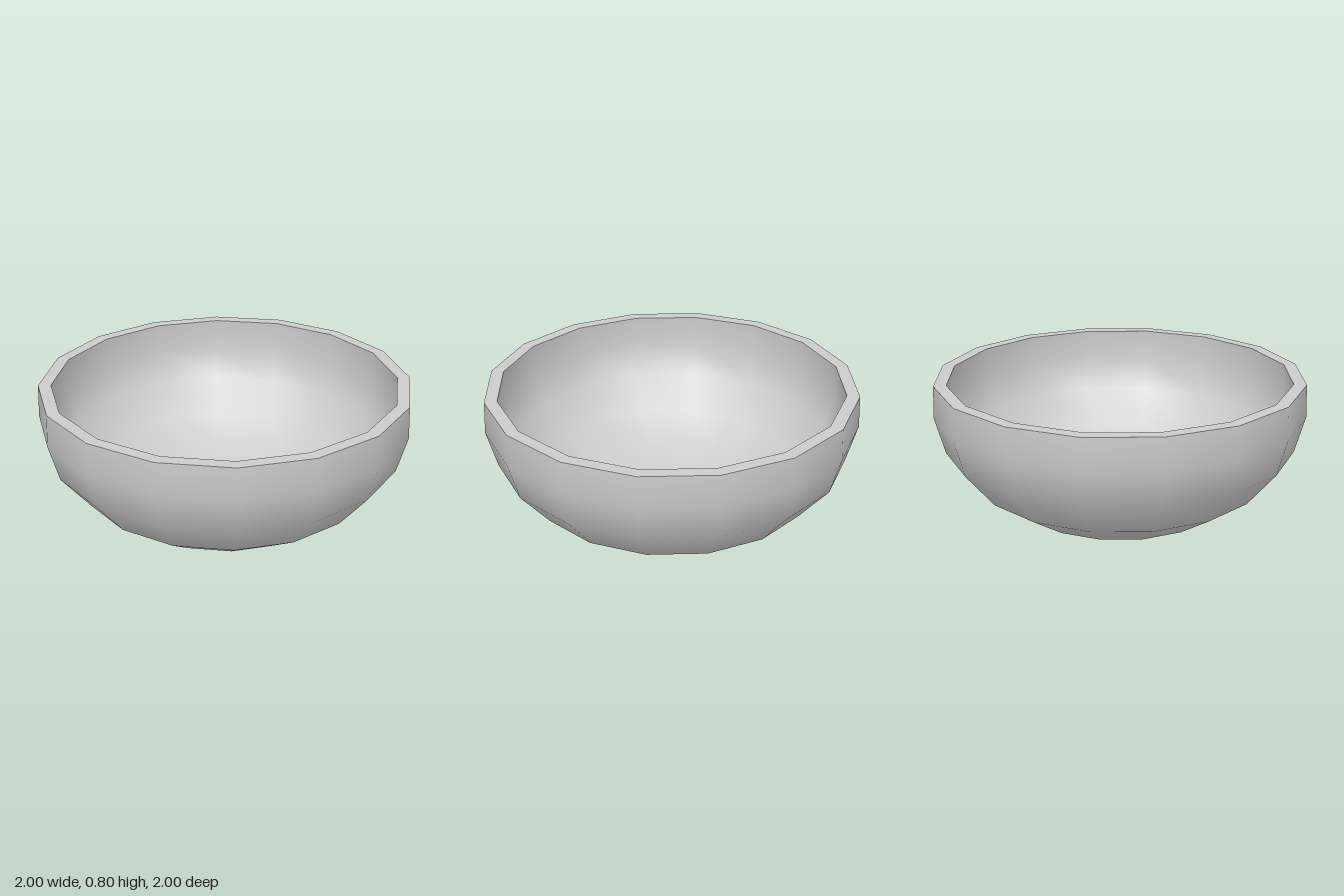
import * as THREE from 'three';

const SIDES = 16;

export function createModel() {
  const bowl = new THREE.Group();
  bowl.name = 'bowl';
  const material = new THREE.MeshStandardMaterial({ color: 0xcccccc });

  // Each surface has its own profile, so the rim and foot edges stay sharp
  const addSurface = (name, profile, sides = SIDES) => {
    const points = profile.map(([r, y]) => new THREE.Vector2(r, y));
    const mesh = new THREE.Mesh(new THREE.LatheGeometry(points, sides), material);
    mesh.name = name;
    bowl.add(mesh);
  };

  // Rounded outside, from the foot up to the rim
  addSurface('outerWall', [
    [0.285, 0.004], [0.56, 0.085], [0.785, 0.23], [0.945, 0.425], [1, 0.625], [0.993, 0.8],
  ]);

  // Flat rim
  addSurface('rim', [[0.993, 0.8], [0.925, 0.8]]);

  // Rounded inside, from the rim down to the centre
  addSurface('innerWall', [
    [0.925, 0.8], [0.93, 0.63], [0.88, 0.45], [0.73, 0.28], [0.52, 0.15], [0.265, 0.08], [0, 0.072],
  ]);

  // Flat round foot
  addSurface('foot', [[0, 0], [0.283, 0]], 48);
  addSurface('footEdge', [[0.283, 0], [0.285, 0.006]], 48);

  return bowl;
}
